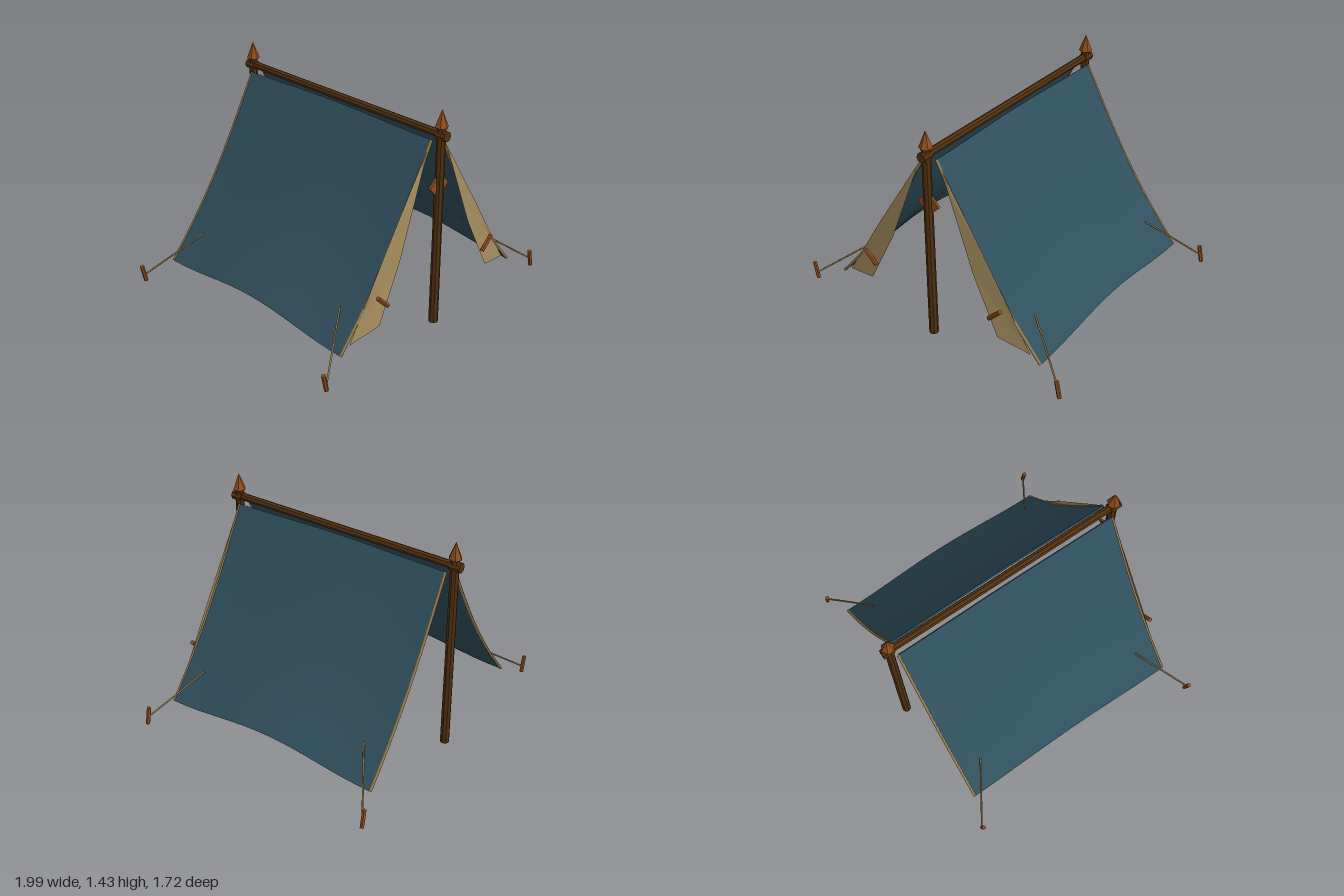
import * as THREE from 'three';

const mat = (name, color, extra = {}) => {
  const m = new THREE.MeshStandardMaterial({ color, ...extra });
  m.name = name;
  return m;
};

export function createModel() {
  const model = new THREE.Group();
  model.name = 'tent';
  model.position.x = 0.008;

  const wood = mat('dark wood', 0x51300f, { flatShading: true });
  const carved = mat('carved wood', 0x8f4c1c, { flatShading: true });
  const cloth = mat('blue canvas', 0x30505e);
  const lining = mat('tan flap cloth', 0xa38b5d, { flatShading: true, side: THREE.DoubleSide });
  const cord = mat('cord', 0x9a7a48);

  const add = (name, geo, material, x = 0, y = 0, z = 0) => {
    const m = new THREE.Mesh(geo, material);
    m.name = name;
    m.position.set(x, y, z);
    model.add(m);
    return m;
  };

  // Point on a roof sheet: t runs from ridge to hem, z along the tent
  const HALF = 0.775;
  const roof = (s, t, z) => {
    const lift = 0.5 * (1 + Math.cos(Math.PI * z / HALF)) * (0.015 + 0.05 * t);
    const y = 1.24 - 1.13 * t - 0.08 * Math.sin(Math.PI * t) + lift;
    return new THREE.Vector3(s * (0.043 + 0.745 * t), y, z);
  };

  // Upright poles with pointed finials, and collars on the ridge ends
  for (const s of [1, -1]) {
    const end = s > 0 ? 'front' : 'back';
    add(end + 'Pole', new THREE.CylinderGeometry(0.028, 0.03, 1.33, 8), wood, 0, 0.665, s * 0.81);
    add(end + 'Finial', new THREE.ConeGeometry(0.043, 0.11, 6), carved, 0, 1.375, s * 0.81);
    add(end + 'Collar', new THREE.CylinderGeometry(0.032, 0.032, 0.075, 8), wood, 0, 1.27, s * 0.819)
      .rotation.x = Math.PI / 2;
  }
  add('ridgeBeam', new THREE.CylinderGeometry(0.025, 0.025, 1.66, 8), wood, 0, 1.273, 0)
    .rotation.x = Math.PI / 2;

  // Diamond plaque behind the front pole
  const plaque = add('diamondPlaque', new THREE.BoxGeometry(0.115, 0.115, 0.016), carved, 0, 0.943, 0.805);
  plaque.rotation.z = Math.PI / 4;

  for (const s of [1, -1]) {
    const side = s > 0 ? 'left' : 'right';

    // Sagging roof sheet: a thin box bent to the roof rule
    const geo = new THREE.BoxGeometry(1, 0.01, 2 * HALF, 12, 1, 16);
    const p = geo.attributes.position;
    for (let i = 0; i < p.count; i++) {
      const t = s * p.getX(i) + 0.5;
      const off = p.getY(i);
      const v = roof(s, t, p.getZ(i));
      p.setXYZ(i, v.x + s * off * 0.83, v.y + off * 0.55, v.z);
    }
    geo.computeVertexNormals();
    add(side + 'RoofSheet', geo, cloth);

    // Corded end edges, guy lines and pegs
    for (const e of [1, -1]) {
      const end = e > 0 ? 'Front' : 'Back';
      const pts = [];
      for (let i = 0; i <= 10; i++) {
        const v = roof(s, i / 10, e * HALF);
        pts.push(v);
      }
      const edge = new THREE.CatmullRomCurve3(pts);
      add(side + end + 'EdgeCord', new THREE.TubeGeometry(edge, 24, 0.009, 6), cord);

      const guy = new THREE.LineCurve3(
        new THREE.Vector3(s * 0.64, 0.315, e * 0.625),
        new THREE.Vector3(s * 0.97, 0.055, e * 0.845));
      add(side + end + 'GuyLine', new THREE.TubeGeometry(guy, 1, 0.006, 6), cord);

      const peg = add(side + end + 'Peg', new THREE.CylinderGeometry(0.014, 0.014, 0.117, 6), carved,
        s * 0.973 - 0.011, 0.064, e * 0.845);
      peg.rotation.z = 0.2;
    }

    // Row of stitches on the inside of the sheet
    for (let i = 0; i < 13; i++) {
      const v = roof(s, 0.64, -0.72 + i * 0.12);
      add(side + 'Stitch', new THREE.BoxGeometry(0.008, 0.01, 0.02), cord, v.x - s * 0.005, v.y - 0.003, v.z);
    }

    // Front flap folded back: pairs of outer and inner points
    const rows = [
      [[0.043, 1.245, 0.775], [0.047, 1.235, 0.777]],
      [[0.14, 1.095, 0.777], [0.12, 1.085, 0.785]],
      [[0.435, 0.628, 0.779], [0.312, 0.577, 0.8]],
      [[0.72, 0.155, 0.78], [0.5, 0.2, 0.812]],
    ];
    const pos = [];
    const idx = [];
    rows.flat().forEach(([x, y, z]) => pos.push(s * x, y, z));
    for (let i = 0; i < rows.length - 1; i++) {
      const a = 2 * i;
      const tris = [[a, a + 1, a + 2], [a + 1, a + 3, a + 2]];
      tris.forEach(t => idx.push(...(s > 0 ? t : [t[0], t[2], t[1]])));
    }
    const flap = new THREE.BufferGeometry();
    flap.setAttribute('position', new THREE.Float32BufferAttribute(pos, 3));
    flap.setIndex(idx);
    flap.computeVertexNormals();
    add(side + 'FrontFlap', flap, lining);

    // Wooden toggle holding the flap
    const toggle = add(side + 'FlapToggle', new THREE.CylinderGeometry(0.015, 0.015, 0.12, 6), carved,
      s * 0.488, 0.366, 0.824);
    toggle.rotation.z = -s * Math.PI / 4;
  }

  return model;
}
